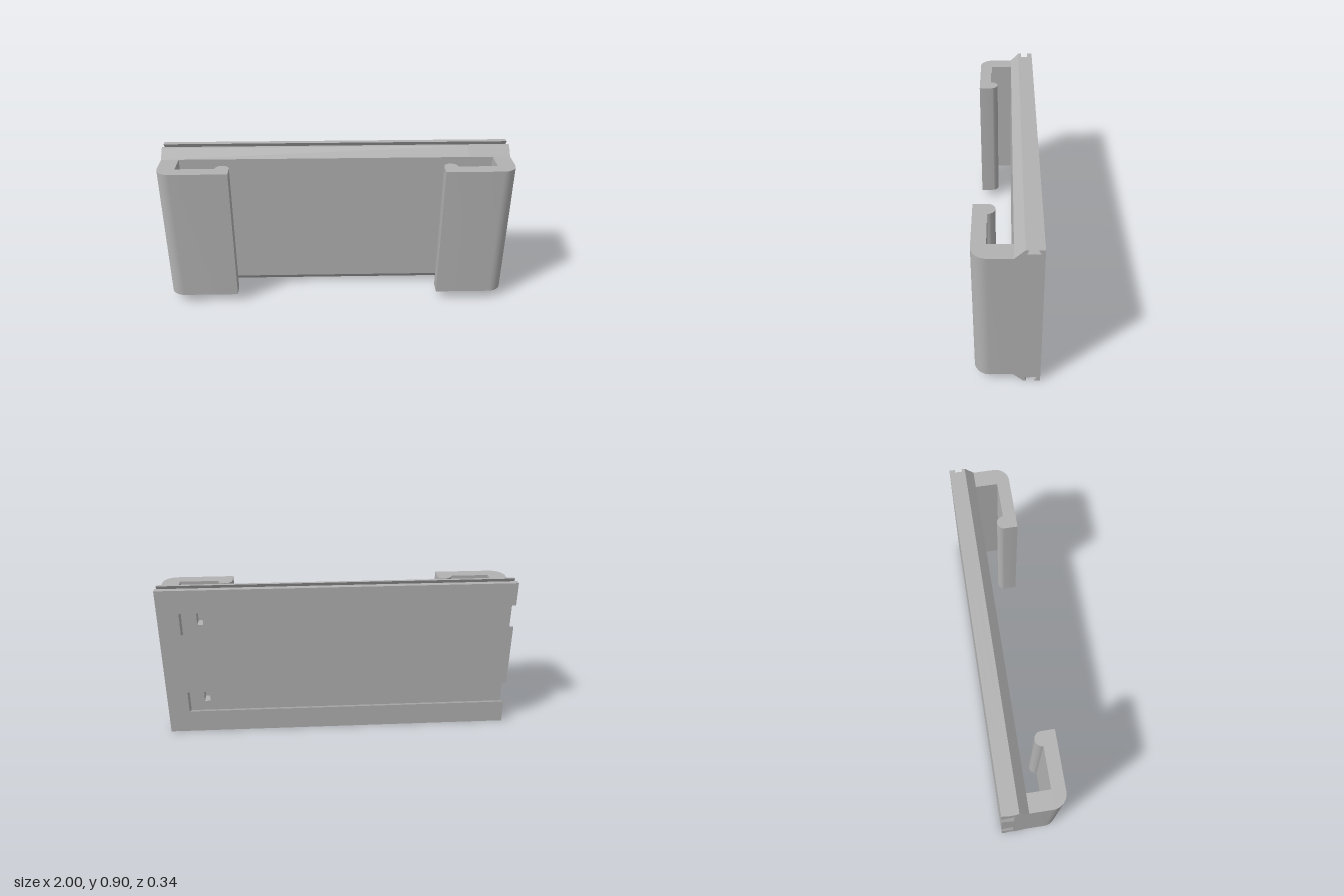
import * as THREE from 'three';
import { toCreasedNormals } from 'three/addons/utils/BufferGeometryUtils.js';

const BACK = -0.17, FACE = -0.03, HEIGHT = 0.9;
const SLOT_FLOOR = -0.103, POCKET_FLOOR = -0.04;

// Points along an arc, angles in degrees
function arc(cx, cz, r, from, to, steps = 12) {
  return Array.from({ length: steps + 1 }, (_, i) => {
    const a = THREE.MathUtils.degToRad(from + (to - from) * i / steps);
    return [cx + r * Math.cos(a), cz + r * Math.sin(a)];
  });
}

// Back edge of one horizontal dovetail slot, listed from bottom to top
function slotPoints(y, pocket) {
  const mouth = 0.065, inner = 0.097, p = 0.035;
  const notch = [[SLOT_FLOOR, y - p], [POCKET_FLOOR, y - p], [POCKET_FLOOR, y + p], [SLOT_FLOOR, y + p]];
  return [
    [BACK, y - mouth], [SLOT_FLOOR, y - inner],
    ...(pocket ? notch : []),
    [SLOT_FLOOR, y + inner], [BACK, y + mouth],
  ];
}

// Plate cross-section in (z, y): chamfered front, grooved top and bottom edges
function plateProfile(slots, pocket) {
  const edge = [[FACE, 0.85], [-0.08, 0.9], [-0.098, 0.9], [-0.086, 0.875],
    [-0.152, 0.875], [-0.138, 0.9], [BACK, 0.9]];
  const bottom = edge.map(([z, y]) => [z, HEIGHT - y]);
  const back = slots ? [0.2, 0.7].flatMap((y) => slotPoints(y, pocket)) : [];
  return [...bottom, ...back, ...edge.reverse()];
}

function extrude(points, depth) {
  const shape = new THREE.Shape(points.map(([u, v]) => new THREE.Vector2(u, v)));
  return new THREE.ExtrudeGeometry(shape, { depth, bevelEnabled: false });
}

export function createModel() {
  const model = new THREE.Group();
  model.name = 'slottedBracket';
  const grey = new THREE.MeshStandardMaterial({ color: 0xb2b2b2 });
  grey.name = 'grey';

  const add = (name, geometry, parent) => {
    const mesh = new THREE.Mesh(geometry, grey);
    mesh.name = name;
    parent.add(mesh);
  };

  // Mounting plate: slots open at one end, small pockets near the closed end
  const plate = new THREE.Group();
  plate.name = 'mountingPlate';
  model.add(plate);
  const sections = [
    ['slottedSection', -1, 0.762, true, false],
    ['pocketSection', 0.762, 0.795, true, true],
    ['slotEndSection', 0.795, 0.88, true, false],
    ['closedEnd', 0.88, 1, false, false],
  ];
  for (const [name, x0, x1, slots, pocket] of sections) {
    const points = plateProfile(slots, pocket).map(([z, y]) => [-z, y]);
    const geometry = extrude(points, x1 - x0);
    geometry.rotateY(Math.PI / 2).translate(x0, 0, 0);
    add(name, geometry, plate);
  }

  // Hooked side arms: rounded outer corner and a round bead on the lip
  const hook = [
    [1, FACE],
    ...arc(0.92, 0.09, 0.08, 0, 90),
    [0.6, 0.17],
    ...arc(0.64, 0.097, 0.04, 180, 360, 20),
    [0.9, 0.097],
    [0.9, FACE],
  ];
  for (const [name, side] of [['leftHookArm', 1], ['rightHookArm', -1]]) {
    const geometry = extrude(hook.map(([x, z]) => [side * x, -z]), 0.8);
    geometry.rotateX(-Math.PI / 2).translate(0, 0.05, 0);
    add(name, toCreasedNormals(geometry, 0.5), model);
  }
  return model;
}
